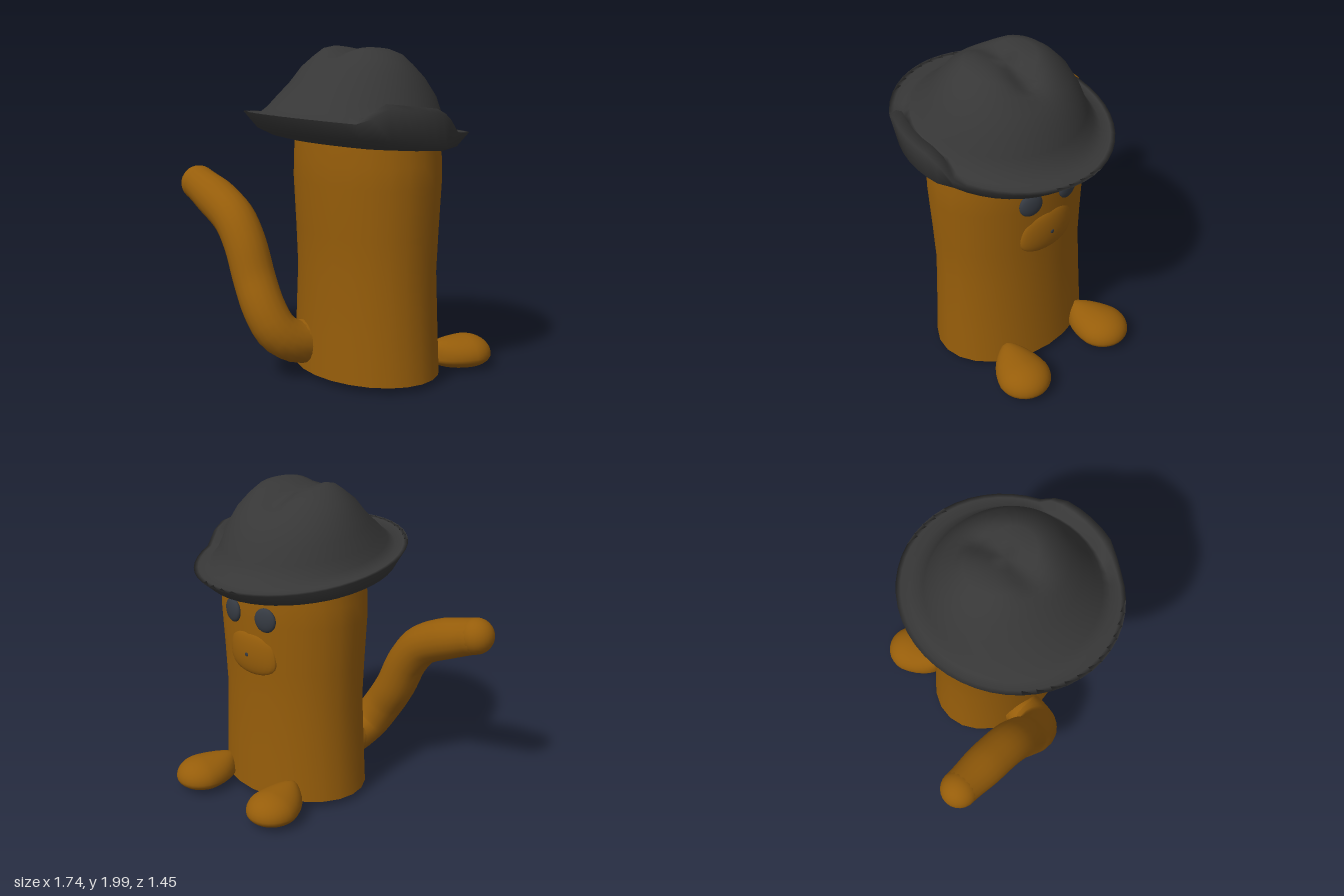
import * as THREE from 'three';
import { mergeVertices } from 'three/addons/utils/BufferGeometryUtils.js';

const brown = new THREE.MeshStandardMaterial({ color: 0x965d0a });
brown.name = 'brown';
const charcoal = new THREE.MeshStandardMaterial({ color: 0x373737 });
charcoal.name = 'charcoal';
const eyeGrey = new THREE.MeshStandardMaterial({ color: 0x353a42 });
eyeGrey.name = 'eye grey';

const CX = 0.2525; // middle of the body in x
const { smoothstep } = THREE.MathUtils;

function mesh(name, geometry, material, x = 0, y = 0, z = 0) {
  const m = new THREE.Mesh(geometry, material);
  m.name = name;
  m.position.set(x, y, z);
  return m;
}

// Move every vertex by a rule
function bend(geometry, rule) {
  const p = geometry.attributes.position;
  const v = new THREE.Vector3();
  for (let i = 0; i < p.count; i++) {
    rule(v.fromBufferAttribute(p, i), i);
    p.setXYZ(i, v.x, v.y, v.z);
  }
  return geometry;
}

// Weld seams and give smooth normals
function smooth(geometry) {
  geometry.deleteAttribute('uv');
  geometry.deleteAttribute('normal');
  const g = mergeVertices(geometry, 1e-4);
  g.computeVertexNormals();
  return g;
}

function ellipsoid(rx, ry, rz) {
  return new THREE.SphereGeometry(1, 24, 16).scale(rx, ry, rz);
}

// Waisted oval trunk with a flat base
function makeBody() {
  const body = new THREE.Group();
  body.name = 'body';
  const profile = [[0.517, 0.04], [0.504, 0.3], [0.489, 0.65], [0.5, 0.9], [0.517, 1.2], [0.515, 1.33], [0.505, 1.45]];
  const trunk = new THREE.LatheGeometry(profile.map(([r, y]) => new THREE.Vector2(r, y)), 24);
  body.add(mesh('trunk', smooth(trunk.scale(1, 1, 0.758)), brown, CX, 0, -0.032));
  const base = new THREE.CircleGeometry(0.517, 24).rotateX(Math.PI / 2).scale(1, 1, 0.758);
  body.add(mesh('base', base, brown, CX, 0.04, -0.032));
  return body;
}

// Hat with a rolled brim, pinched crown and one turned-up side
function makeHat() {
  const rings = [ // x radius, z radius, height
    [0, 0, 1.41], [0.44, 0.4, 1.405], [0.52, 0.5, 1.42], [0.585, 0.6, 1.455], [0.63, 0.695, 1.545],
    [0.605, 0.665, 1.545], [0.56, 0.6, 1.54], [0.525, 0.54, 1.585], [0.495, 0.485, 1.65],
    [0.45, 0.425, 1.74], [0.395, 0.345, 1.84], [0.33, 0.27, 1.91], [0.26, 0.215, 1.965],
    [0.19, 0.165, 1.99], [0.1, 0.08, 2], [0, 0, 2],
  ];
  const flap = { 3: [0.035, 0.01], 4: [0.005, 0.1], 5: [-0.025, 0.125], 6: [-0.015, 0.03] }; // ring: x, y shift
  const hat = new THREE.LatheGeometry(rings.map(([r, , y]) => new THREE.Vector2(r, y)), 48);
  bend(hat, (v, i) => {
    const k = i % rings.length;
    if (rings[k][0] > 0) v.z *= rings[k][1] / rings[k][0];
    // crease along the top, deepest towards the face
    const crease = (0.06 + 0.03 * smoothstep(-v.z, 0, 0.2)) * smoothstep(v.y, 1.87, 1.98);
    v.y -= crease * Math.exp(-((v.x / 0.11) ** 2));
    // turned-up flap
    if (v.x > 0.3 && flap[k]) {
      const w = smoothstep(v.z, -0.23, -0.15) * (1 - smoothstep(v.z, 0.27, 0.4));
      v.x += w * flap[k][0];
      v.y += w * flap[k][1];
    }
    // crown leans forward and the whole hat tips towards the face
    const lean = 0.04 * smoothstep(v.y, 1.6, 1.75);
    v.y += 0.123 * (v.z + 0.025 - lean);
    v.z -= lean;
  });
  return mesh('hat', smooth(hat), charcoal, 0.233, 0, 0.025);
}

// Curved tail, tapering slightly to a round tip
function makeTail() {
  const tail = new THREE.Group();
  tail.name = 'tail';
  const points = [[0.09, 0.2, 0.3], [0.08, 0.225, 0.4], [0.045, 0.29, 0.49], [-0.03, 0.42, 0.532], [-0.13, 0.58, 0.532],
    [-0.23, 0.79, 0.532], [-0.34, 0.925, 0.532], [-0.5, 1.01, 0.532], [-0.65, 1.065, 0.532], [-0.755, 1.1, 0.532]];
  const path = new THREE.CatmullRomCurve3(points.map((p) => new THREE.Vector3(...p)));
  const steps = 30, sides = 18;
  const tube = new THREE.TubeGeometry(path, steps, 0.131, sides);
  bend(tube, (v, i) => {
    const t = Math.floor(i / (sides + 1)) / steps;
    const k = 1 - 0.13 * smoothstep(t, 0.82, 1);
    const c = path.getPointAt(t);
    v.sub(c).multiplyScalar(k).add(c);
  });
  tail.add(mesh('tailTube', smooth(tube), brown));
  tail.add(mesh('tailTip', ellipsoid(0.114, 0.114, 0.114), brown, ...points[points.length - 1]));
  tail.add(mesh('tailRoot', ellipsoid(0.13, 0.13, 0.13), brown, 0.085, 0.215, 0.34));
  return tail;
}

// Foot: rounded toe, high blunt instep and shallow sole
function makeFoot(name, x) {
  const g = bend(new THREE.SphereGeometry(1, 28, 20), (v) => {
    const back = Math.max(v.z, 0);
    v.y *= v.y > 0 ? 0.12 * (1.0001 - back * back) ** -0.4 : 0.08;
    v.x *= 0.165 * (1 - 0.15 * back);
    v.z *= v.z > 0 ? 0.245 : 0.17;
  });
  return mesh(name, smooth(g), brown, x, 0.08, -0.56);
}

export function createModel() {
  const model = new THREE.Group();
  model.name = 'creature';
  model.add(makeBody(), makeHat(), makeTail());
  for (const [side, s] of [['right', -1], ['left', 1]]) {
    const foot = makeFoot(side + 'Foot', CX + s * 0.33);
    foot.rotation.y = -s * 0.2;
    const eye = mesh(side + 'Eye', ellipsoid(0.075, 0.077, 0.028), eyeGrey, CX + s * 0.141, 1.235, -0.412);
    eye.rotation.y = -s * 0.2;
    model.add(foot, eye);
  }
  // Full-cheeked muzzle wrapped around the body, with a small dark mouth
  const muzzle = bend(new THREE.SphereGeometry(1, 24, 16), (v) => {
    v.x *= 0.195 * (1 + 0.3 * v.y * v.y - 0.1 * v.y);
    v.y *= 0.14;
    v.z = 0.04 * v.z + 0.6 * v.x * v.x;
  });
  model.add(mesh('muzzle', smooth(muzzle), brown, CX, 0.99, -0.402));
  model.add(mesh('mouth', ellipsoid(0.013, 0.013, 0.004), eyeGrey, CX, 0.985, -0.442));
  return model;
}
